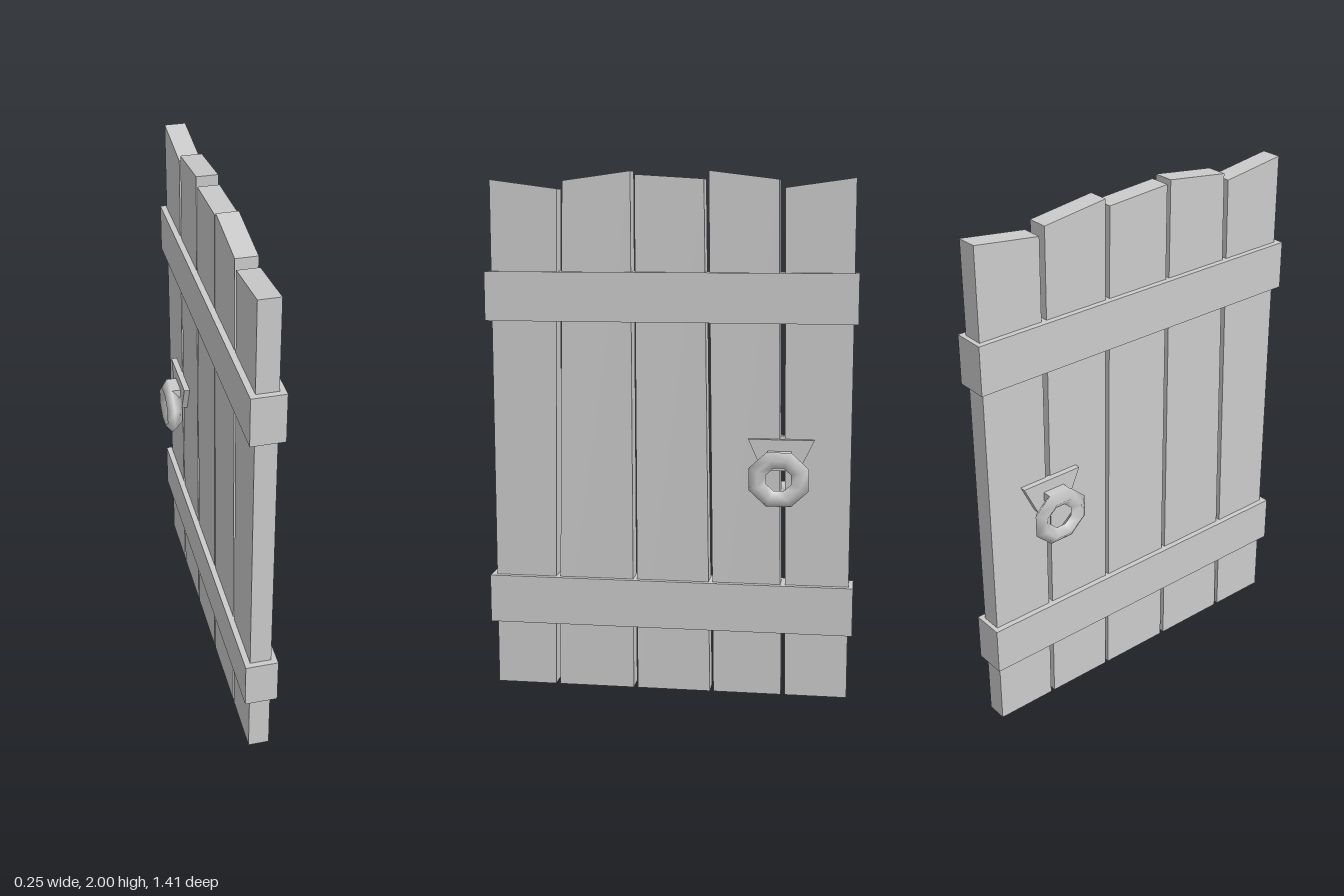
import * as THREE from 'three';

const material = new THREE.MeshStandardMaterial({ color: 0xcccccc });

function addMesh(parent, name, geometry) {
  const mesh = new THREE.Mesh(geometry, material);
  mesh.name = name;
  parent.add(mesh);
  return mesh;
}

// Flat panel from [z, y] corners, spanning x0 to x1
function panel(corners, x0, x1) {
  const shape = new THREE.Shape(corners.map(([z, y]) => new THREE.Vector2(-z, y)));
  const geometry = new THREE.ExtrudeGeometry(shape, { depth: x1 - x0, bevelEnabled: false });
  return geometry.rotateY(Math.PI / 2).translate(x0, 0, 0);
}

// Octagonal ring with a diamond section, its axis along x
function ringGeometry(side) {
  const profile = [[0.0465, 0.006], [0.079, -0.031], [0.1115, 0.006], [0.079, 0.031], [0.0465, 0.006]];
  const points = profile.map(([r, h]) => new THREE.Vector2(r, h));
  return new THREE.LatheGeometry(points, 8, Math.PI / 8)
    .rotateZ(-side * Math.PI / 2)
    .scale(1, 1, 1.09);
}

export function createModel() {
  const door = new THREE.Group();
  door.name = 'plankDoor';

  // Uneven planks: bottom z pair, top z pair, top heights
  const planks = [
    [0.685, 0.453, 0.685, 0.426, 1.97, 1.935],
    [0.437, 0.14, 0.405, 0.146, 1.965, 2.0],
    [0.124, -0.161, 0.13, -0.13, 1.987, 1.97],
    [-0.175, -0.437, -0.148, -0.408, 2.0, 1.967],
    [-0.453, -0.69, -0.431, -0.69, 1.937, 1.972],
  ];
  planks.forEach(([b0, b1, t0, t1, y0, y1], i) => {
    addMesh(door, `plank${i + 1}`, panel([[b0, 0], [b1, 0], [t1, y1], [t0, y0]], -0.04, 0.04));
  });

  // Cross rails wrapping both faces
  for (const [name, y] of [['lowerRail', 0.346], ['upperRail', 1.533]]) {
    addMesh(door, name, new THREE.BoxGeometry(0.124, 0.187, 1.414)).position.y = y;
  }

  // Ring handle with its tapered plate on each face
  for (const side of [1, -1]) {
    const handle = new THREE.Group();
    handle.name = side > 0 ? 'leftHandle' : 'rightHandle';
    const xs = [side * 0.035, side * 0.062].sort((a, b) => a - b);
    const plate = [[-0.357, 0.887], [-0.497, 0.887], [-0.553, 1.005], [-0.304, 1.005]];
    addMesh(handle, 'handlePlate', panel(plate, ...xs));
    addMesh(handle, 'ringMount', new THREE.BoxGeometry(0.045, 0.035, 0.09))
      .position.set(side * 0.077, 0.944, -0.423);
    addMesh(handle, 'handleRing', ringGeometry(side)).position.set(side * 0.094, 0.86, -0.423);
    door.add(handle);
  }

  return door;
}
